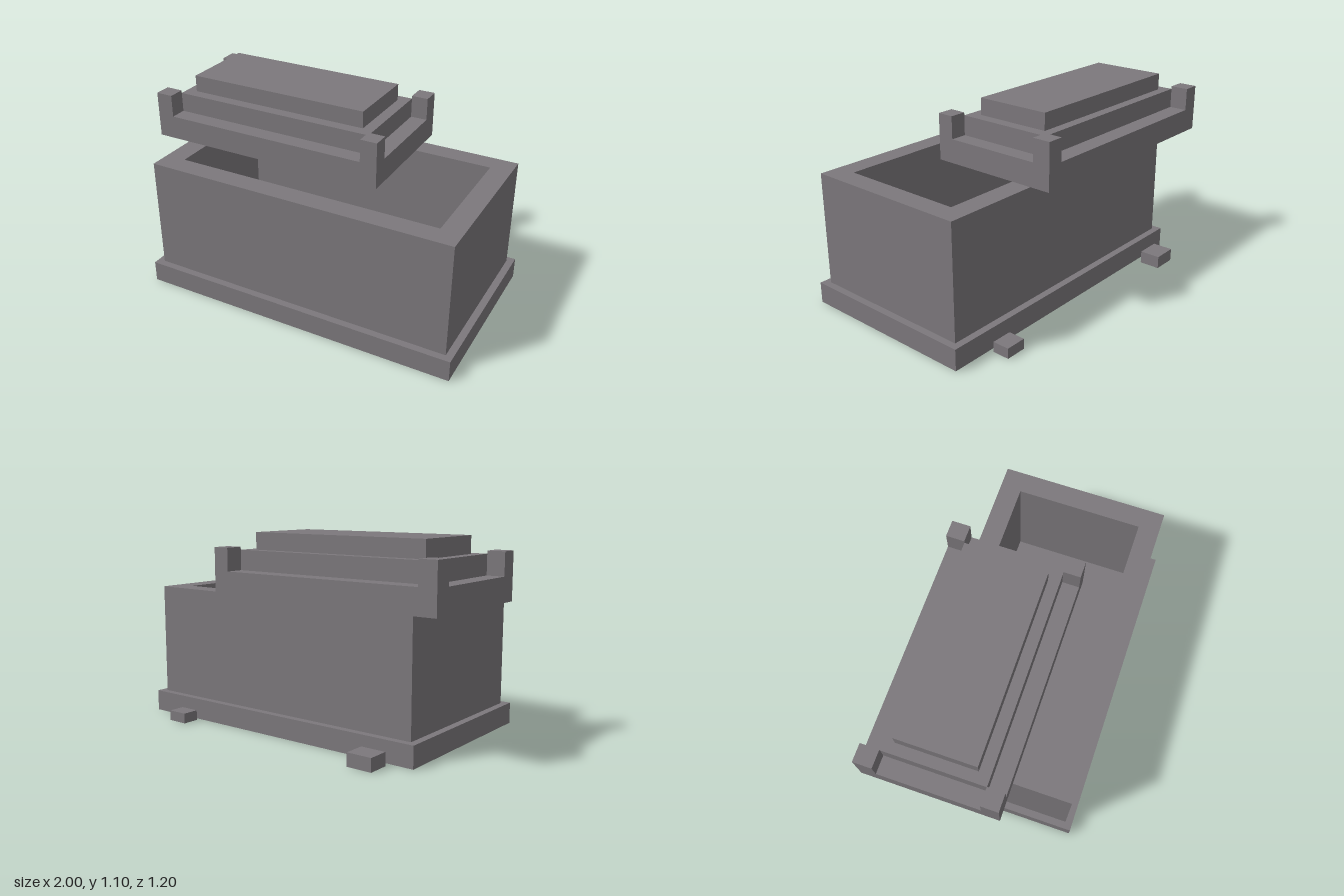
import * as THREE from 'three';

export function createModel() {
  const model = new THREE.Group();
  model.name = 'stoneCoffin';

  const stone = new THREE.MeshStandardMaterial({ color: 0x7c787c });
  stone.name = 'stone';
  const bone = new THREE.MeshStandardMaterial({ color: 0xcac5b2 });
  bone.name = 'bone';

  // Box given by its extents on each axis
  function block(parent, name, [x0, x1], [y0, y1], [z0, z1], material = stone) {
    const mesh = new THREE.Mesh(new THREE.BoxGeometry(x1 - x0, y1 - y0, z1 - z0), material);
    mesh.position.set((x0 + x1) / 2, (y0 + y1) / 2, (z0 + z1) / 2);
    mesh.name = name;
    parent.add(mesh);
  }

  // Plinth
  block(model, 'plinth', [-0.84, 1], [0, 0.12], [-0.44, 0.6]);

  // Hollow chest: one outline with a rectangular hole, extruded upward
  const chest = new THREE.Shape();
  chest.moveTo(-0.8, -0.56).lineTo(0.96, -0.56).lineTo(0.96, 0.4).lineTo(-0.8, 0.4).closePath();
  const cavity = new THREE.Path();
  cavity.moveTo(-0.68, -0.44).lineTo(-0.68, 0.28).lineTo(0.84, 0.28).lineTo(0.84, -0.44).closePath();
  chest.holes.push(cavity);
  const walls = new THREE.ExtrudeGeometry(chest, { depth: 0.64, bevelEnabled: false });
  walls.rotateX(-Math.PI / 2).translate(0, 0.12, 0);
  const wallMesh = new THREE.Mesh(walls, stone);
  wallMesh.name = 'chestWalls';
  model.add(wallMesh);

  // Skull lying on the chest floor
  block(model, 'skull', [0.42, 0.64], [0.12, 0.34], [-0.05, 0.17], bone);

  // Stepped lid, pushed askew, with a post on each corner
  const lid = new THREE.Group();
  lid.name = 'lid';
  model.add(lid);
  block(lid, 'lidSlab', [-1, 0.4], [0.76, 0.896], [-0.52, 0.24]);
  block(lid, 'lidStep', [-0.9, 0.304], [0.896, 1.008], [-0.416, 0.144]);
  block(lid, 'lidTop', [-0.84, 0.24], [1.008, 1.104], [-0.36, 0.08]);
  for (const x of [[-1, -0.9], [0.304, 0.4]]) {
    for (const z of [[-0.52, -0.416], [0.144, 0.24]]) {
      block(lid, 'cornerPost', x, [0.896, 1.024], z);
    }
  }

  // Broken chips on the ground behind
  block(model, 'largeChip', [-0.705, -0.56], [0, 0.073], [-0.6, -0.48]);
  block(model, 'smallChip', [0.637, 0.757], [0, 0.058], [-0.56, -0.464]);

  return model;
}
